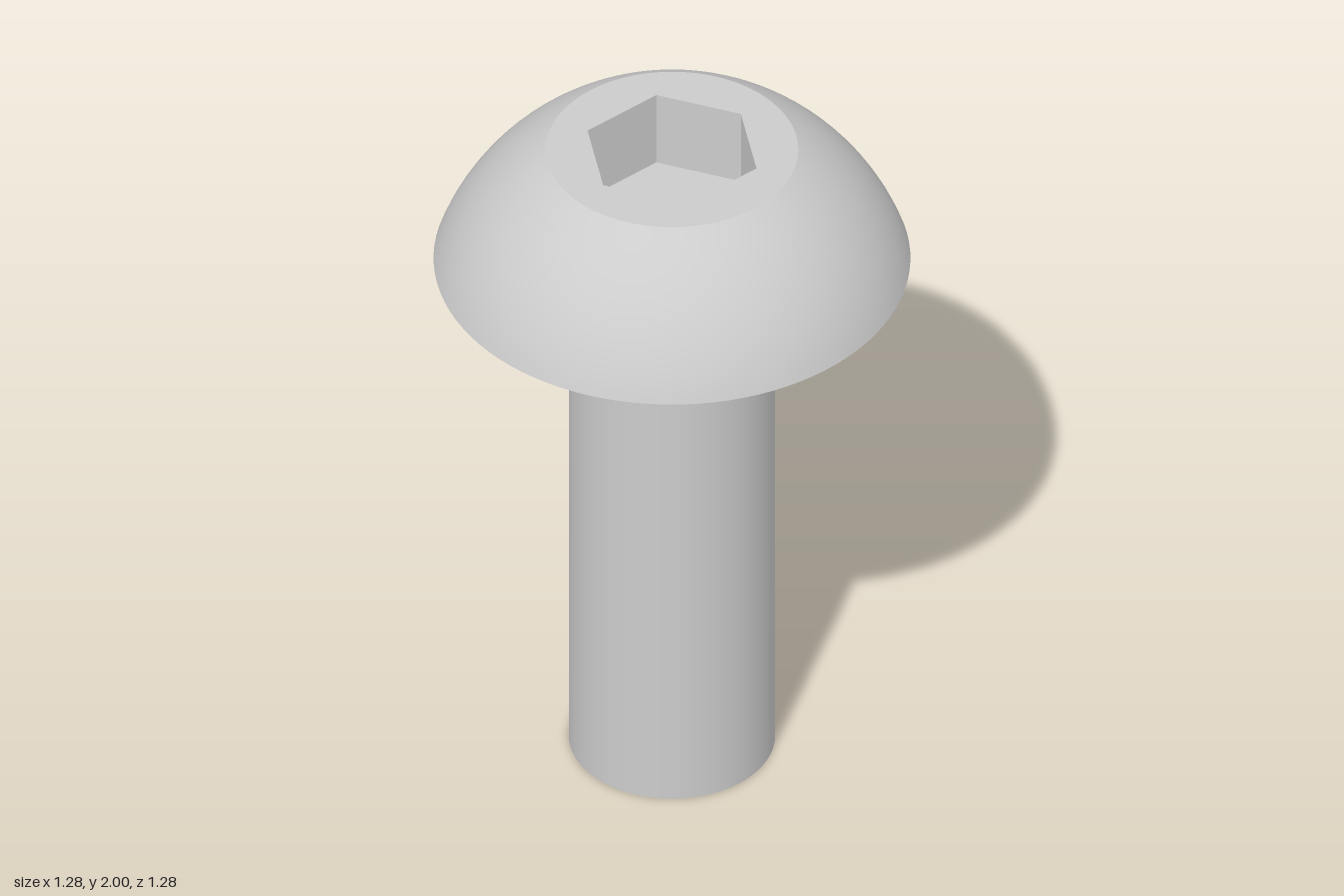
import * as THREE from 'three';

const SEGMENTS = 96;
const SHANK_R = 0.278, HEAD_R = 0.642, TOP_R = 0.34;
const HEAD_Y = 1.63, TOP_Y = 2;
const HEX_R = 0.242, HEX_DEPTH = 0.23;

export function createModel() {
  const group = new THREE.Group();
  const smooth = new THREE.MeshStandardMaterial({ color: 0xcccccc });
  const faceted = new THREE.MeshStandardMaterial({ color: 0xcccccc, flatShading: true });

  const add = (name, geometry, material = smooth) => {
    const mesh = new THREE.Mesh(geometry, material);
    mesh.name = name;
    group.add(mesh);
  };

  // Plain cylindrical shank with a flat end, open where it meets the head
  const shank = new THREE.CylinderGeometry(SHANK_R, SHANK_R, HEAD_Y, SEGMENTS, 1, true);
  add('shank', shank.translate(0, HEAD_Y / 2, 0));
  const end = new THREE.CircleGeometry(SHANK_R, SEGMENTS);
  add('shankEnd', end.rotateX(Math.PI / 2));

  // Domed head: a zone of a sphere centred on the axis
  const h = TOP_Y - HEAD_Y;
  const drop = (HEAD_R ** 2 - TOP_R ** 2 - h ** 2) / (2 * h);
  const radius = Math.hypot(HEAD_R, drop);
  const a0 = Math.atan2(drop, HEAD_R), a1 = Math.atan2(drop + h, TOP_R);
  const arc = [];
  for (let i = 0; i <= 20; i++) {
    const a = a0 + (a1 - a0) * i / 20;
    arc.push(new THREE.Vector2(radius * Math.cos(a), HEAD_Y - drop + radius * Math.sin(a)));
  }
  add('headDome', new THREE.LatheGeometry(arc, SEGMENTS));

  // Flat bearing face under the head
  const underside = new THREE.RingGeometry(SHANK_R, HEAD_R, SEGMENTS);
  add('headUnderside', underside.rotateX(Math.PI / 2).translate(0, HEAD_Y, 0));

  // Flat top of the head with a hexagonal opening
  const top = new THREE.Shape().absarc(0, 0, TOP_R, 0, Math.PI * 2);
  const corners = [];
  for (let i = 0; i < 6; i++) {
    const a = i * Math.PI / 3;
    corners.push(new THREE.Vector2(HEX_R * Math.cos(a), HEX_R * Math.sin(a)));
  }
  top.holes.push(new THREE.Path(corners));
  const topFace = new THREE.ShapeGeometry(top, SEGMENTS);
  add('headTop', topFace.rotateX(-Math.PI / 2).translate(0, TOP_Y, 0));

  // Hex socket: six inward-facing walls and a flat floor
  const socketProfile = [
    new THREE.Vector2(HEX_R, TOP_Y),
    new THREE.Vector2(HEX_R, TOP_Y - HEX_DEPTH),
    new THREE.Vector2(0, TOP_Y - HEX_DEPTH),
  ];
  const socket = new THREE.LatheGeometry(socketProfile, 6, Math.PI / 2).toNonIndexed();
  socket.computeVertexNormals();
  add('hexSocket', socket, faceted);

  return group;
}
